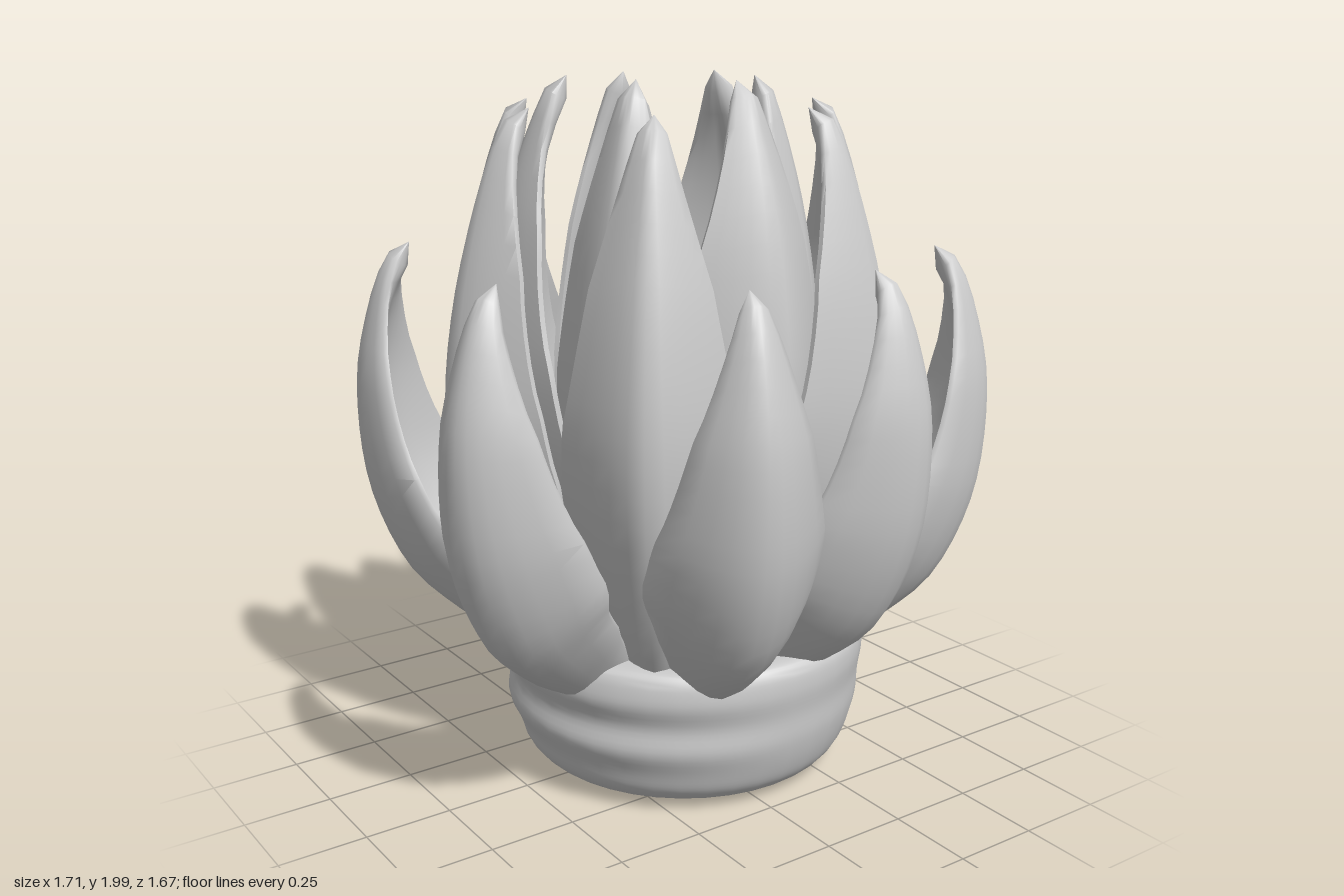
import * as THREE from 'three';
import { toCreasedNormals } from 'three/addons/utils/BufferGeometryUtils.js';

const material = new THREE.MeshStandardMaterial({ color: 0xcccccc, side: THREE.DoubleSide });

// Half width of a petal along its length, as a fraction of the widest point
const widthCurve = [[0, 0.35], [0.2, 0.78], [0.4, 1], [0.53, 0.96], [0.75, 0.64], [0.88, 0.33], [0.96, 0.15], [1, 0.07]];

function widthAt(u) {
  let i = 0;
  while (i < widthCurve.length - 2 && u > widthCurve[i + 1][0]) i++;
  const [u0, w0] = widthCurve[i];
  const [u1, w1] = widthCurve[i + 1];
  return THREE.MathUtils.lerp(w0, w1, (u - u0) / (u1 - u0));
}

// Cupped petal: crescent cross-sections swept along its ridge (radius, height)
function petalGeometry({ ridge, width, cup, power }) {
  const path = new THREE.SplineCurve(ridge.map(([r, y]) => new THREE.Vector2(r, y)));
  const rows = 24, half = 10, ring = 2 * (half + 1);
  const positions = [], index = [];
  for (let i = 0; i <= rows; i++) {
    const u = i / rows;
    const p = path.getPointAt(u), t = path.getTangentAt(u);
    const closing = i === rows ? 0 : 1;
    const w = width * widthAt(u) * closing;
    // The cup flattens towards the tip, which stays thick and blunt
    const depth = cup * (1.15 - 0.5 * u) * w;
    const thick = 0.065 * closing;
    for (let j = 0; j < ring; j++) {
      const inner = j > half;
      const s = inner ? 1 - 2 * (j - half - 1) / half : -1 + 2 * j / half;
      // Inward offset, perpendicular to the ridge; the rim is thin
      const d = depth * Math.abs(s) ** power + (inner ? thick * (1 - 0.8 * s * s) : 0);
      positions.push(p.x - t.y * d, p.y + t.x * d, w * s * (inner ? 0.97 : 1));
    }
  }
  for (let i = 0; i < rows; i++) {
    for (let j = 0; j < ring; j++) {
      const a = i * ring + j, b = i * ring + (j + 1) % ring;
      index.push(a, a + ring, b, b, a + ring, b + ring);
    }
  }
  const geometry = new THREE.BufferGeometry();
  geometry.setAttribute('position', new THREE.Float32BufferAttribute(positions, 3));
  geometry.setIndex(index);
  return toCreasedNormals(geometry, 1.1);
}

// Petal rings from outside to inside: [angle from +x towards +z, outward shift]
const rings = [
  {
    name: 'outerPetal', width: 0.24, cup: 1, power: 1.9,
    petals: [[-94, -0.03], [-53, -0.01], [-11, 0], [35, 0.04], [72, -0.04], [109, 0], [160, 0.03], [219, 0.04]],
    ridge: [[0.3, 0.25], [0.45, 0.34], [0.61, 0.44], [0.75, 0.58], [0.85, 0.83], [0.87, 1.13], [0.82, 1.37], [0.76, 1.5], [0.7, 1.53]],
  },
  {
    name: 'middlePetal', width: 0.245, cup: 0.9, power: 1.4,
    petals: [[-67, 0], [-120, 0.01], [-171, -0.03], [130, -0.02], [59, -0.04], [7, 0.02]],
    ridge: [[0.3, 0.25], [0.42, 0.36], [0.55, 0.55], [0.66, 0.82], [0.7, 1.1], [0.67, 1.4], [0.59, 1.7], [0.51, 1.89], [0.44, 1.92]],
  },
  {
    name: 'innerPetal', width: 0.265, cup: 0.85, power: 1.4,
    petals: [[90, 0], [-30, 0], [212, -0.02]],
    ridge: [[0.26, 0.3], [0.36, 0.42], [0.46, 0.65], [0.53, 1], [0.54, 1.3], [0.48, 1.65], [0.36, 1.96], [0.3, 1.995]],
  },
  {
    name: 'heartPetal', width: 0.25, cup: 0.85, power: 1.4,
    petals: [[-90, 0], [36, 0], [147, 0]],
    ridge: [[0.08, 0.34], [0.24, 0.44], [0.35, 0.7], [0.41, 1], [0.42, 1.3], [0.37, 1.65], [0.28, 1.96], [0.23, 1.995]],
  },
];

// Rounded pot with soft ribs on its -x side
function baseGeometry() {
  const profile = [[0, 0.005], [0.3, 0.01], [0.42, 0.025], [0.47, 0.06], [0.5, 0.12], [0.52, 0.2],
    [0.525, 0.28], [0.535, 0.36], [0.525, 0.42], [0.48, 0.44], [0.3, 0.43], [0, 0.43]];
  const curve = new THREE.SplineCurve(profile.map(([r, y]) => new THREE.Vector2(r, y)));
  const points = curve.getPoints(55).map((p) => new THREE.Vector2(Math.max(0, p.x), Math.max(0, p.y)));
  const geometry = new THREE.LatheGeometry(points, 40);
  const pos = geometry.attributes.position;
  for (let i = 0; i < pos.count; i++) {
    const x = pos.getX(i), y = pos.getY(i), z = pos.getZ(i);
    const r = Math.hypot(x, z);
    const side = r > 0.45 ? Math.max(0, -x / r) : 0;
    const fade = Math.sin(Math.PI * THREE.MathUtils.clamp((y - 0.05) / 0.38, 0, 1));
    const k = 1 + side * fade * 0.018 * Math.cos((y - 0.2) * 2 * Math.PI / 0.16);
    pos.setXYZ(i, x * k, y, z * k);
  }
  geometry.computeVertexNormals();
  return toCreasedNormals(geometry, 0.9);
}

export function createModel() {
  const model = new THREE.Group();
  model.name = 'succulent';

  const base = new THREE.Mesh(baseGeometry(), material);
  base.name = 'base';
  base.position.x = 0.05;
  model.add(base);

  for (const ring of rings) {
    const geometry = petalGeometry(ring);
    const group = new THREE.Group();
    group.name = ring.name + 'Ring';
    for (const [degrees, shift] of ring.petals) {
      const angle = THREE.MathUtils.degToRad(degrees);
      const petal = new THREE.Mesh(geometry, material);
      petal.name = ring.name;
      petal.rotation.y = -angle;
      petal.position.set(shift * Math.cos(angle), 0, shift * Math.sin(angle));
      group.add(petal);
    }
    model.add(group);
  }
  return model;
}
